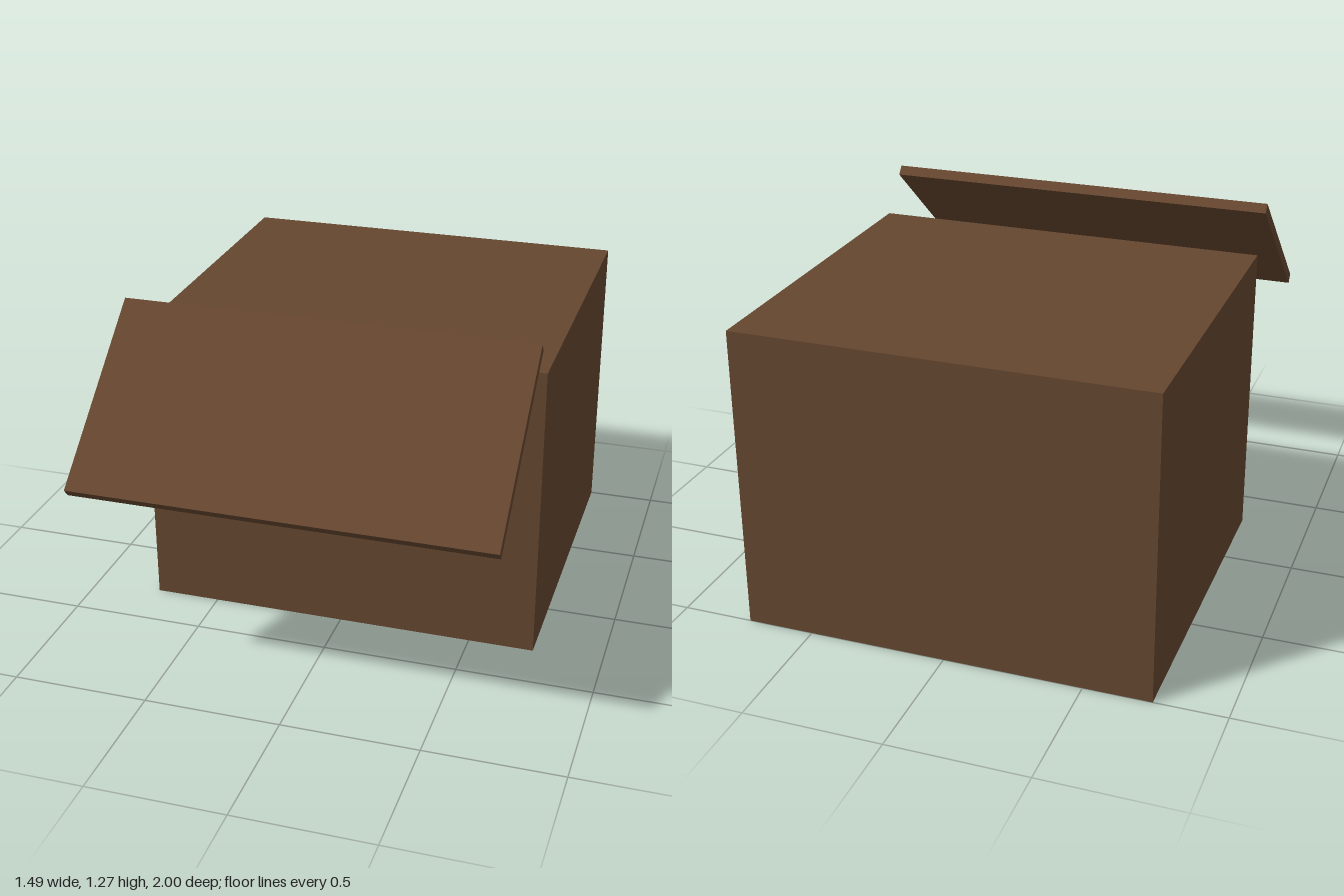
import * as THREE from 'three';

export function createModel() {
  const model = new THREE.Group();
  const brown = new THREE.MeshStandardMaterial({ color: 0x65462f, side: THREE.DoubleSide });
  brown.name = 'brown';

  const width = 1.486;

  // Thin-walled box, open underneath: drop the downward face (indices 18 to 23)
  const shell = new THREE.BoxGeometry(width, 1.115, 1.3);
  const index = Array.from(shell.index.array);
  index.splice(18, 6);
  shell.setIndex(index);
  shell.clearGroups();
  const box = new THREE.Mesh(shell, brown);
  box.name = 'openBox';
  box.position.set(0, 1.115 / 2, -0.35);
  model.add(box);

  // Sloping panel floating in front, its low edge towards the front
  const panel = new THREE.Mesh(new THREE.BoxGeometry(width, 0.039, 0.743), brown);
  panel.name = 'slopingPanel';
  panel.position.set(0, 1.02, 0.703);
  panel.rotation.x = THREE.MathUtils.degToRad(40);
  model.add(panel);

  return model;
}
